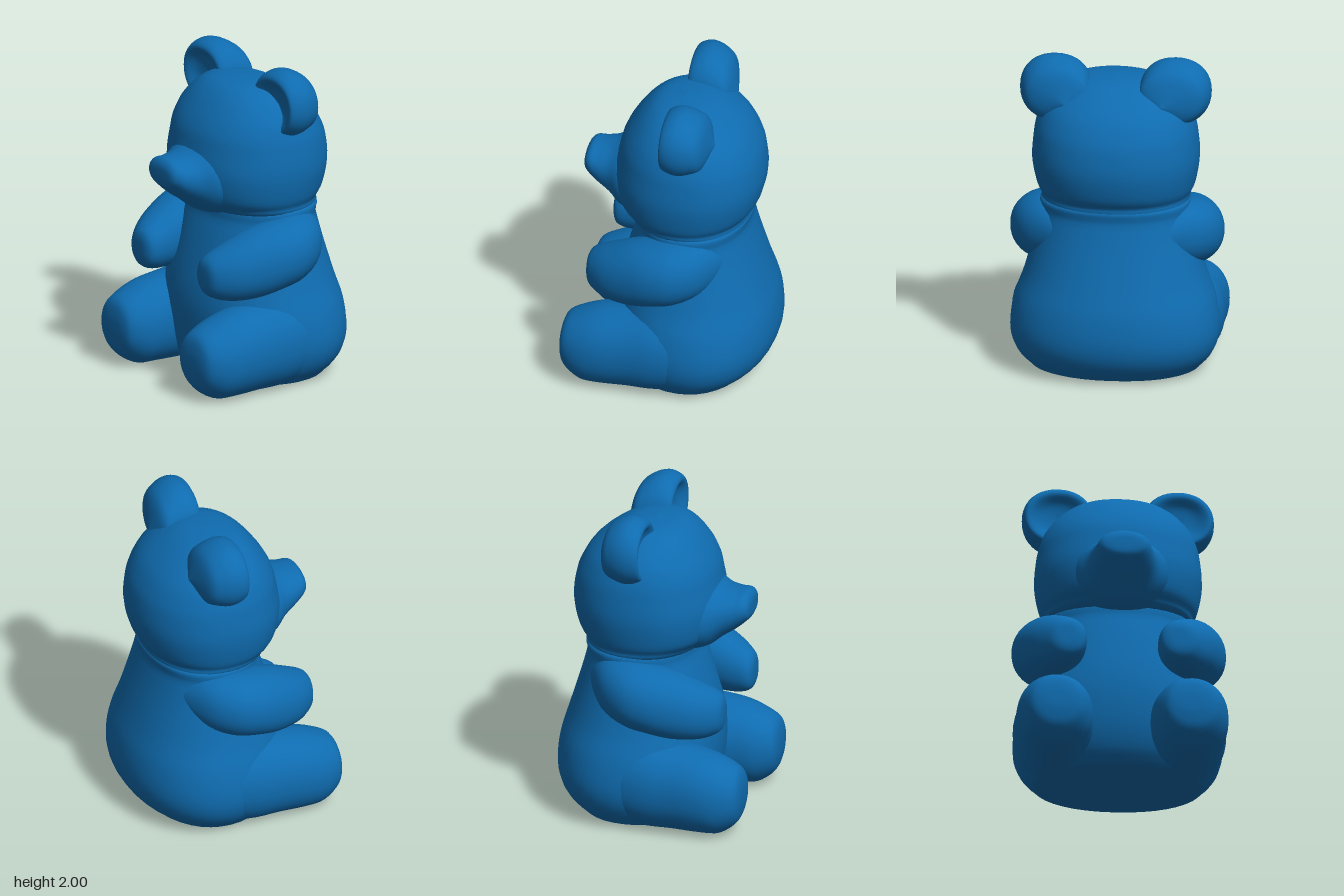
import * as THREE from 'three';

// Smooth closed skin over rounded cross-sections.
// Axis 'y': rows are [y, x, z, radiusX, radiusZ]; axis 'x': rows are [x, y, z, radiusY, radiusZ].
function loft(axis, rows, steps = 4, sides = 40, power = 2.15) {
  const centres = new THREE.CatmullRomCurve3(
    rows.map(r => new THREE.Vector3(r[0], r[1], r[2])), false, 'catmullrom');
  const radii = new THREE.CatmullRomCurve3(
    rows.map(r => new THREE.Vector3(r[3], r[4], 0)), false, 'catmullrom');
  const rings = (rows.length - 1) * steps;
  const round = v => Math.sign(v) * Math.pow(Math.abs(v), 2 / power);
  const positions = [], index = [];
  for (let i = 0; i <= rings; i++) {
    const c = centres.getPoint(i / rings), r = radii.getPoint(i / rings);
    for (let j = 0; j < sides; j++) {
      const t = j / sides * Math.PI * 2;
      const u = Math.max(r.x, 0) * round(Math.cos(t));
      const v = Math.max(r.y, 0) * round(Math.sin(t));
      if (axis === 'y') positions.push(c.y + u, Math.max(c.x, 0), c.z + v);
      else positions.push(c.x, Math.max(c.y + u, 0), c.z - v);
      if (i < rings) {
        const a = i * sides + j, b = i * sides + (j + 1) % sides;
        index.push(a, a + sides, b, b, a + sides, b + sides);
      }
    }
  }
  const geometry = new THREE.BufferGeometry();
  geometry.setAttribute('position', new THREE.Float32BufferAttribute(positions, 3));
  geometry.setIndex(index);
  geometry.computeVertexNormals();
  return geometry;
}

export function createModel() {
  const model = new THREE.Group();
  model.name = 'sittingBear';
  const blue = new THREE.MeshStandardMaterial({ color: 0x0f6cb0 });
  blue.name = 'blue';

  const add = (name, axis, rows) => {
    const mesh = new THREE.Mesh(loft(axis, rows), blue);
    mesh.name = name;
    model.add(mesh);
  };
  // The bear looks toward -x, so its paired parts mirror across z.
  const addPair = (name, rows) => {
    for (const side of [1, -1]) {
      add(name + (side > 0 ? 'A' : 'B'), 'x', rows.map(([x, y, z, ry, rz]) => [x, y, z * side, ry, rz]));
    }
  };

  // Pear-shaped torso with a flat seat
  add('torso', 'y', [
    [0, 0.11, 0, 0, 0],
    [0, 0.11, 0, 0.31, 0.45],
    [0.05, 0.12, 0, 0.40, 0.55],
    [0.15, 0.135, 0, 0.465, 0.62],
    [0.28, 0.137, 0, 0.497, 0.645],
    [0.45, 0.125, 0, 0.495, 0.62],
    [0.62, 0.11, 0, 0.46, 0.56],
    [0.85, 0.105, 0, 0.395, 0.50],
    [1.02, 0.11, 0, 0.345, 0.46],
    [1.12, 0.12, 0, 0.32, 0.42],
    [1.20, 0.12, 0, 0, 0],
  ]);

  // Head
  add('head', 'y', [
    [1.04, 0.10, 0, 0, 0],
    [1.08, 0.10, 0, 0.33, 0.41],
    [1.13, 0.08, 0, 0.385, 0.46],
    [1.20, 0.075, 0, 0.435, 0.49],
    [1.35, 0.08, 0, 0.463, 0.515],
    [1.50, 0.085, 0, 0.445, 0.505],
    [1.60, 0.08, 0, 0.415, 0.485],
    [1.70, 0.075, 0, 0.355, 0.44],
    [1.80, 0.055, 0, 0.255, 0.34],
    [1.86, 0.04, 0, 0.15, 0.21],
    [1.88, 0.04, 0, 0, 0],
  ]);

  // Blunt snout widening into the face
  add('snout', 'x', [
    [-0.577, 1.35, 0, 0, 0],
    [-0.572, 1.35, 0, 0.06, 0.11],
    [-0.54, 1.35, 0, 0.098, 0.155],
    [-0.48, 1.325, 0, 0.125, 0.18],
    [-0.40, 1.305, 0, 0.16, 0.215],
    [-0.30, 1.29, 0, 0.215, 0.29],
    [-0.15, 1.29, 0, 0.22, 0.30],
    [0.0, 1.29, 0, 0, 0],
  ]);

  // Ears, cupped at the front and domed at the back
  addPair('ear', [
    [0.06, 1.79, 0.37, 0, 0],
    [0.045, 1.79, 0.37, 0.09, 0.10],
    [0.005, 1.785, 0.37, 0.155, 0.18],
    [0.03, 1.79, 0.37, 0.19, 0.21],
    [0.10, 1.79, 0.37, 0.21, 0.22],
    [0.18, 1.785, 0.36, 0.19, 0.21],
    [0.25, 1.77, 0.34, 0.14, 0.17],
    [0.30, 1.74, 0.30, 0, 0],
  ]);

  // Arms reaching forward
  addPair('arm', [
    [-0.49, 0.76, 0.345, 0, 0],
    [-0.485, 0.76, 0.345, 0.08, 0.07],
    [-0.45, 0.76, 0.35, 0.13, 0.12],
    [-0.35, 0.775, 0.385, 0.175, 0.165],
    [-0.20, 0.81, 0.42, 0.21, 0.195],
    [-0.05, 0.845, 0.44, 0.215, 0.215],
    [0.10, 0.87, 0.43, 0.21, 0.215],
    [0.25, 0.89, 0.37, 0.17, 0.18],
    [0.36, 0.90, 0.28, 0.08, 0.09],
    [0.39, 0.90, 0.26, 0, 0],
  ]);

  // Legs stretched out along the ground
  addPair('leg', [
    [-0.635, 0.25, 0.41, 0, 0],
    [-0.63, 0.26, 0.41, 0.08, 0.10],
    [-0.60, 0.255, 0.415, 0.17, 0.165],
    [-0.50, 0.245, 0.415, 0.235, 0.215],
    [-0.38, 0.26, 0.415, 0.26, 0.235],
    [-0.20, 0.275, 0.40, 0.275, 0.25],
    [0.0, 0.29, 0.39, 0.29, 0.262],
    [0.20, 0.29, 0.35, 0.25, 0.25],
    [0.40, 0.28, 0.25, 0.15, 0.15],
    [0.45, 0.28, 0.23, 0, 0],
  ]);

  return model;
}
